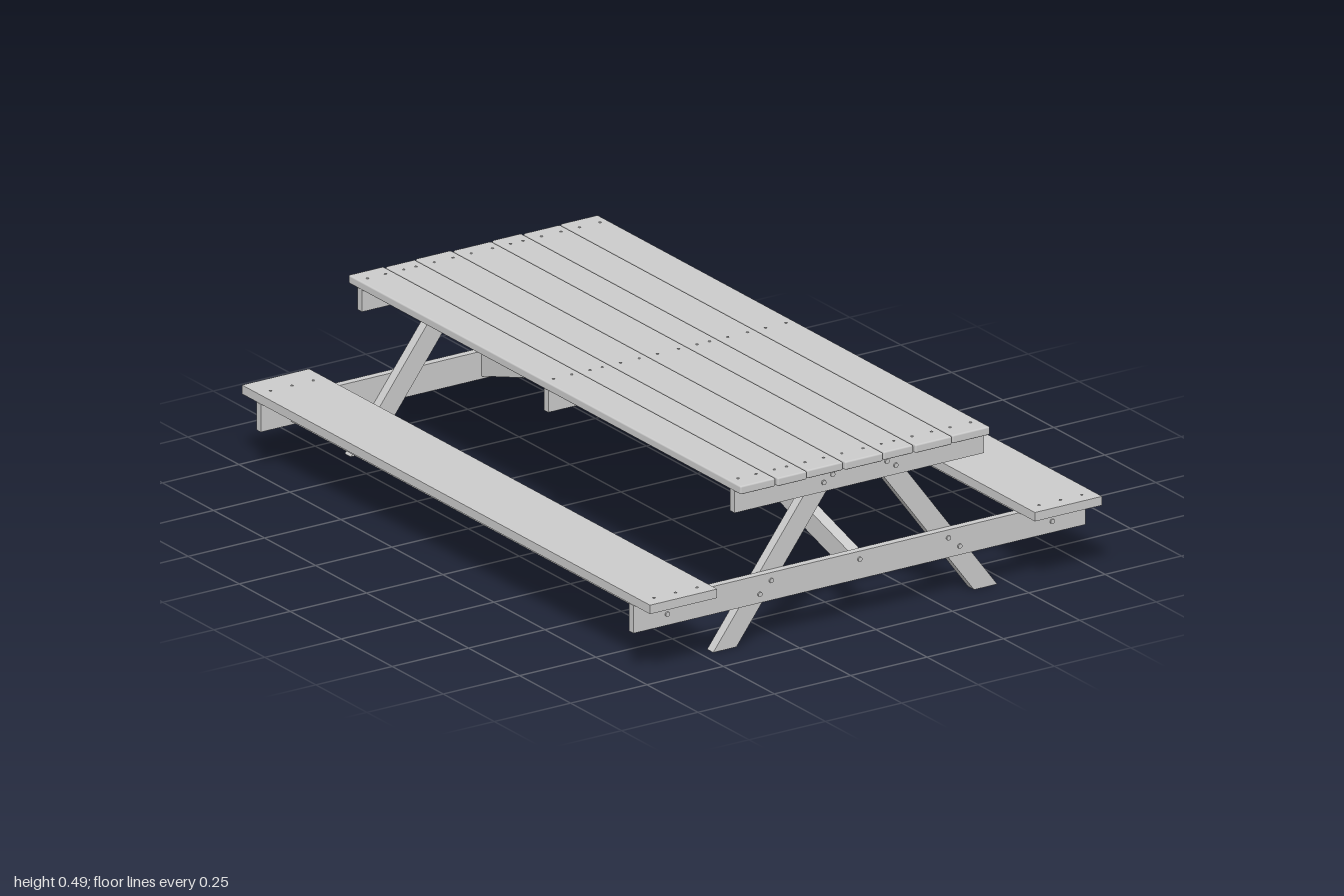
import * as THREE from 'three';
import { RoundedBoxGeometry } from 'three/addons/geometries/RoundedBoxGeometry.js';

const wood = new THREE.MeshStandardMaterial({ color: 0xcccccc });

function add(parent, name, geometry, x = 0, y = 0, z = 0) {
  const mesh = new THREE.Mesh(geometry, wood);
  mesh.name = name;
  mesh.position.set(x, y, z);
  parent.add(mesh);
  return mesh;
}

// Board given by its limits on each axis
function board(parent, name, [x0, x1], [y0, y1], [z0, z1], radius = 0) {
  const size = [x1 - x0, y1 - y0, z1 - z0];
  const geometry = radius ? new RoundedBoxGeometry(...size, 2, radius) : new THREE.BoxGeometry(...size);
  return add(parent, name, geometry, (x0 + x1) / 2, (y0 + y1) / 2, (z0 + z1) / 2);
}

// Slanted board: outline in a plane, extruded to a thickness centred on that plane
function slanted(points, thickness) {
  const shape = new THREE.Shape(points.map(([x, y]) => new THREE.Vector2(x, y)));
  return new THREE.ExtrudeGeometry(shape, { depth: thickness, bevelEnabled: false })
    .translate(0, 0, -thickness / 2);
}

const boltGeometry = new THREE.CylinderGeometry(0.007, 0.007, 0.012, 10).rotateX(Math.PI / 2);
const nailGeometry = new THREE.CylinderGeometry(0.004, 0.004, 0.004, 8);

export function createModel() {
  const model = new THREE.Group();
  model.name = 'picnicTable';
  const shift = -0.005; // frame sits slightly to the back of the benches

  // Table top: seven planks of varied width
  const top = new THREE.Group();
  top.name = 'tableTop';
  model.add(top);
  const edges = [-0.414, -0.295, -0.195, -0.074, 0.055, 0.156, 0.28, 0.407];
  for (let i = 0; i < 7; i++) {
    const x0 = edges[i] + 0.002, x1 = edges[i + 1] - 0.002;
    const slip = (i % 2) * 0.004;
    board(top, 'topPlank', [x0, x1], [0.466, 0.491], [-0.97 + slip, 0.953 + slip], 0.005);
    for (const z of [-0.913, 0, 0.903]) {
      for (const x of [x0 + 0.028, x1 - 0.028]) add(top, 'nail', nailGeometry, x, 0.4905, z + shift);
    }
  }

  // Cross cleats under the top
  for (const z of [-0.913, 0, 0.913]) {
    board(model, 'topCleat', [-0.409, 0.407], [0.402, 0.467], [z - 0.011 + shift, z + 0.011 + shift]);
  }

  // End frames: splayed legs, seat beam and bolts
  const legGeometry = slanted([[0.389, 0], [0.465, 0], [0.116, 0.465], [0.04, 0.465]], 0.03);
  const mirroredLeg = slanted([[-0.465, 0], [-0.389, 0], [-0.04, 0.465], [-0.116, 0.465]], 0.03);
  const bolts = [[0.63, 0.18], [0.63, 0.155], [0.29, 0.18], [0.327, 0.148], [0.118, 0.429], [0.089, 0.447]];
  for (const s of [1, -1]) {
    const frame = new THREE.Group();
    frame.name = s > 0 ? 'frontFrame' : 'backFrame';
    frame.position.z = shift;
    model.add(frame);
    add(frame, 'leftLeg', legGeometry, 0, 0, s * 0.888);
    add(frame, 'rightLeg', mirroredLeg, 0, 0, s * 0.888);
    const z = s * 0.9135;
    board(frame, 'seatBeam', [-0.74, 0.74], [0.122, 0.203], [z - 0.011, z + 0.011]);
    add(frame, 'bolt', boltGeometry, 0, 0.18, s * 0.9225);
    for (const [x, y] of bolts) {
      for (const side of [1, -1]) add(frame, 'bolt', boltGeometry, side * x, y, s * 0.9225);
    }
  }

  // Diagonal braces from the middle cleat down to each seat beam
  const braceGeometry = slanted([[0.01, 0.398], [0.903, 0.13], [0.903, 0.196], [0.01, 0.464]], 0.036);
  for (const s of [1, -1]) {
    const brace = add(model, 'diagonalBrace', braceGeometry, 0, 0, shift);
    brace.rotation.y = -s * Math.PI / 2;
  }

  // Benches: seat plank with a stiffening rail under its middle
  for (const s of [1, -1]) {
    const bench = new THREE.Group();
    bench.name = s > 0 ? 'leftBench' : 'rightBench';
    model.add(bench);
    const span = (a, b) => (s > 0 ? [a, b] : [-b, -a]);
    board(bench, 'seatPlank', span(0.52, 0.74), [0.204, 0.23], [-1, 1]);
    board(bench, 'seatRail', span(0.618, 0.642), [0.133, 0.205], [-0.907, 0.897]);
    for (const z of [-0.92, 0.96]) {
      for (const x of [0.56, 0.63, 0.7]) add(bench, 'nail', nailGeometry, s * x, 0.2295, z);
    }
  }
  return model;
}
